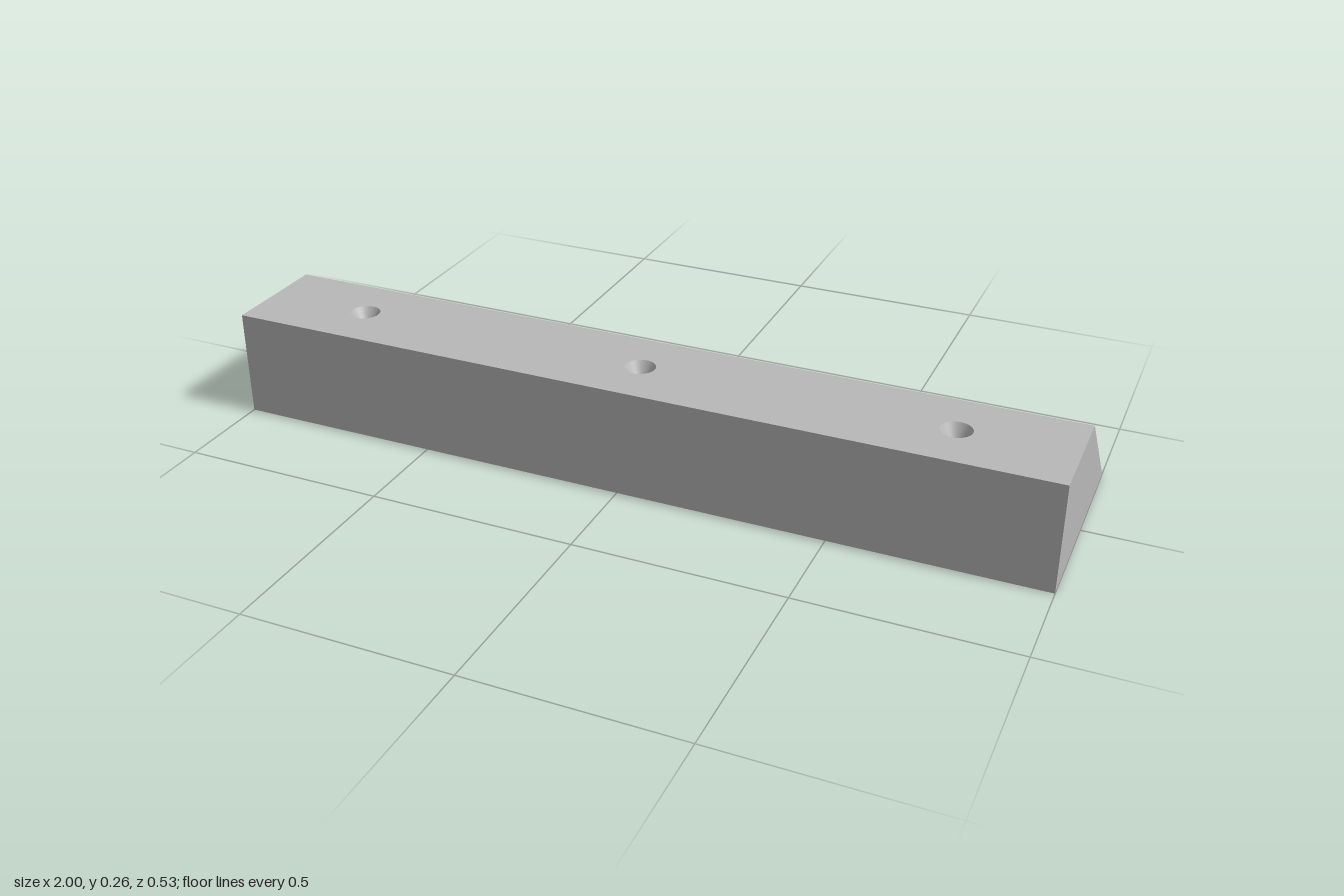
import * as THREE from 'three';

const H = 0.26, FRONT = 0.265, RIDGE = -0.005, BACK = -0.265;
const SHAFT = 0.018;                          // screw shaft radius
const TOP_R = 0.036, TOP_DEPTH = 0.032;       // countersinks in the flat top
const SLOPE_R = 0.054, SLOPE_Z = -0.059;      // countersinks in the slope
const CEIL = 0.238, SEAT = 0.17;              // upper and lower height of the slope countersinks
const slopeY = z => z - BACK;

export function createModel() {
  const model = new THREE.Group();
  const grey = new THREE.MeshStandardMaterial({ color: 0xb8b8b8 });
  grey.name = 'grey';

  const add = (name, geometry, x = 0, y = 0, z = 0) => {
    const mesh = new THREE.Mesh(geometry, grey);
    mesh.name = name;
    mesh.position.set(x, y, z);
    model.add(mesh);
  };

  // Flat face from [x, z] outlines, lifted to a height given by z
  const face = (outline, holes, height, down = false) => {
    const points = list => list.map(([x, z]) => new THREE.Vector2(x, -z));
    const shape = new THREE.Shape(points(outline));
    shape.holes = holes.map(h => new THREE.Path(points(h)));
    const g = new THREE.ShapeGeometry(shape);
    g.rotateX(-Math.PI / 2);
    const p = g.attributes.position;
    for (let i = 0; i < p.count; i++) p.setY(i, height(p.getZ(i)));
    if (down) g.index.array.reverse();
    g.computeVertexNormals();
    return g;
  };
  const rect = (z0, z1) => [[-1, z0], [1, z0], [1, z1], [-1, z1]];
  const circle = (cx, cz, r) => Array.from({ length: 32 }, (_, i) => {
    const a = i / 32 * Math.PI * 2;
    return [cx + r * Math.sin(a), cz + r * Math.cos(a)];
  });

  // Inward-facing conical or straight hole wall
  const wall = (rTop, yTop, rLow, yLow, start = 0, length = Math.PI * 2) =>
    new THREE.LatheGeometry([new THREE.Vector2(rTop, yTop), new THREE.Vector2(rLow, yLow)], 32, start, length);
  const rim = g => {
    const p = g.attributes.position, out = [];
    for (let i = 0; i < p.count; i += 2) out.push([p.getX(i), p.getZ(i)]);
    return out;
  };

  const topHoles = [-0.735, 0, 0.735].map(x => [x, 0.13]);
  const slopeHoles = [-0.4, 0.4].map(x => [x, SLOPE_Z]);

  // Slope countersink: open part trimmed to the slope, covered part under a flat ceiling
  const half = Math.acos((CEIL + BACK - SLOPE_Z) / SLOPE_R);
  const openCone = wall(SLOPE_R, CEIL, SHAFT, SEAT, half, Math.PI * 2 - half * 2);
  const coveredCone = wall(SLOPE_R, CEIL, SHAFT, SEAT, -half, half * 2);
  const taper = (SLOPE_R - SHAFT) / (CEIL - SEAT);
  const p = openCone.attributes.position;
  for (let i = 0; i < p.count; i += 2) {
    const a = Math.atan2(p.getX(i), p.getZ(i)), c = Math.cos(a);
    const y = (slopeY(SLOPE_Z) + c * (SHAFT - taper * SEAT)) / (1 - c * taper);
    const r = SHAFT + taper * (y - SEAT);
    p.setXYZ(i, r * Math.sin(a), y, r * c);
  }
  const openRim = rim(openCone);

  // Outer faces of the bar
  add('topFace', face(rect(RIDGE, FRONT), topHoles.map(([x, z]) => circle(x, z, TOP_R)), () => H));
  add('bottomFace', face(rect(BACK, FRONT), [...topHoles, ...slopeHoles].map(([x, z]) => circle(x, z, SHAFT)), () => 0, true));
  add('slopeFace', face(rect(BACK, RIDGE),
    slopeHoles.map(([x, z]) => openRim.map(([dx, dz]) => [x + dx, z + dz])), slopeY));
  add('frontFace', new THREE.PlaneGeometry(2, H), 0, H / 2, FRONT);
  for (const side of [1, -1]) {
    const profile = [[FRONT, 0], [BACK, 0], [RIDGE, H], [FRONT, H]];
    const end = new THREE.ShapeGeometry(new THREE.Shape(profile.map(([z, y]) => new THREE.Vector2(-side * z, y))));
    end.rotateY(side * Math.PI / 2);
    add(side > 0 ? 'leftEnd' : 'rightEnd', end, side);
  }

  // Screw holes through the flat top
  for (const [x, z] of topHoles) {
    add('topCountersink', wall(TOP_R, H, SHAFT, H - TOP_DEPTH), x, 0, z);
    add('topScrewHole', wall(SHAFT, H - TOP_DEPTH, SHAFT, 0), x, 0, z);
  }

  // Screw holes through the slope
  const ceiling = face(rim(coveredCone), [], () => CEIL, true);
  for (const [x, z] of slopeHoles) {
    add('slopeCountersink', openCone, x, 0, z);
    add('slopeCountersinkBack', coveredCone, x, 0, z);
    add('slopeCountersinkCeiling', ceiling, x, 0, z);
    add('slopeScrewHole', wall(SHAFT, SEAT, SHAFT, 0), x, 0, z);
  }
  return model;
}
